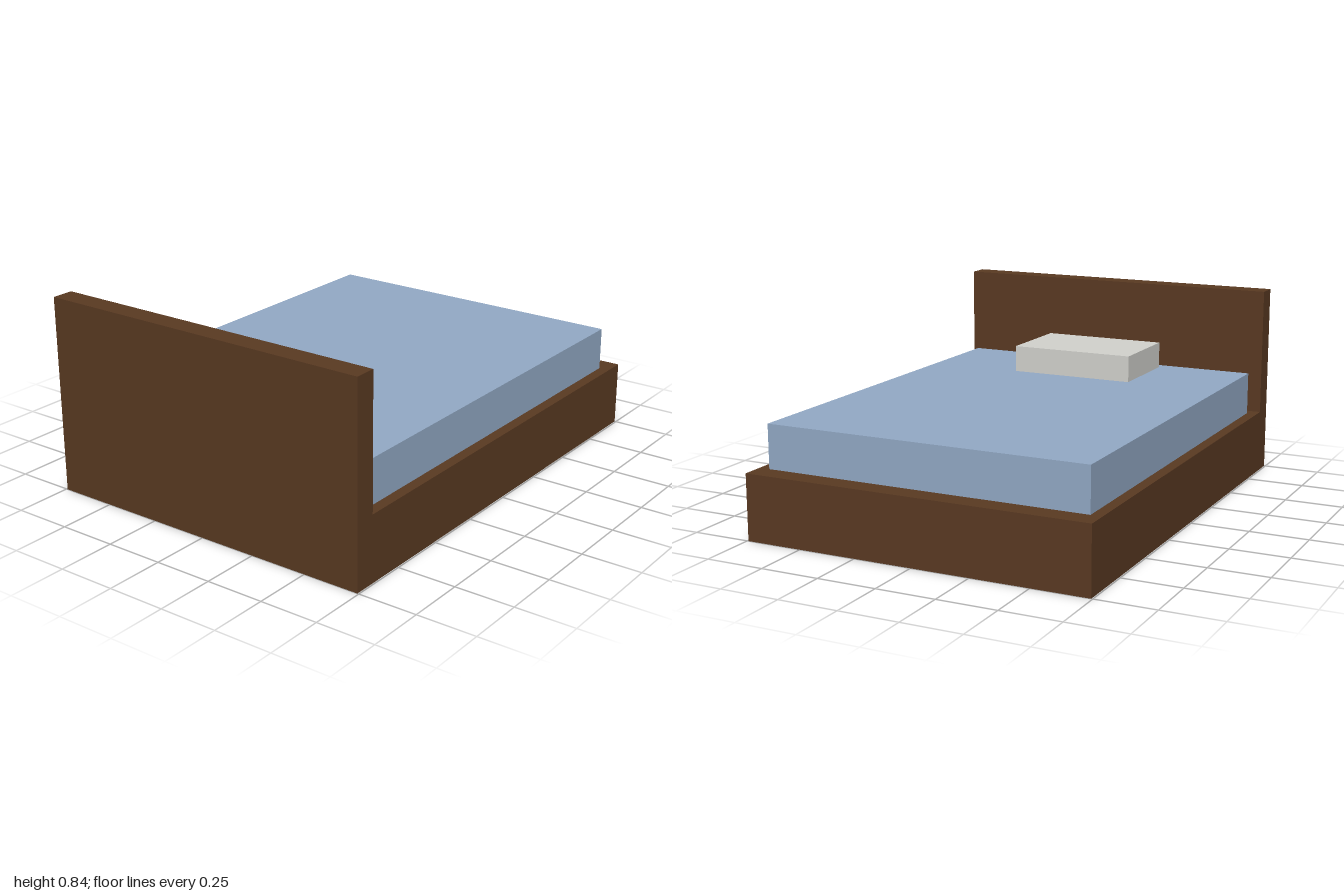
import * as THREE from 'three';

const wood = new THREE.MeshStandardMaterial({ color: 0x5a3a22 });
wood.name = 'dark wood';
const blue = new THREE.MeshStandardMaterial({ color: 0x93aac6 });
blue.name = 'blue fabric';
const white = new THREE.MeshStandardMaterial({ color: 0xd3d3ce });
white.name = 'off-white fabric';

// Box centred on x, given its width and its y and z ranges
function slab(name, material, width, [y0, y1], [z0, z1]) {
  const mesh = new THREE.Mesh(new THREE.BoxGeometry(width, y1 - y0, z1 - z0), material);
  mesh.name = name;
  mesh.position.set(0, (y0 + y1) / 2, (z0 + z1) / 2);
  return mesh;
}

export function createModel() {
  const bed = new THREE.Group();
  bed.name = 'bed';
  bed.add(
    // Solid wooden frame with a tall board at the head end
    slab('bedBase', wood, 1.488, [0, 0.279], [-1, 0.907]),
    slab('headboard', wood, 1.488, [0, 0.837], [0.907, 1]),
    // Bedding
    slab('mattress', blue, 1.395, [0.279, 0.465], [-0.907, 0.86]),
    slab('pillow', white, 0.558, [0.465, 0.581], [0.442, 0.814]),
  );
  return bed;
}
